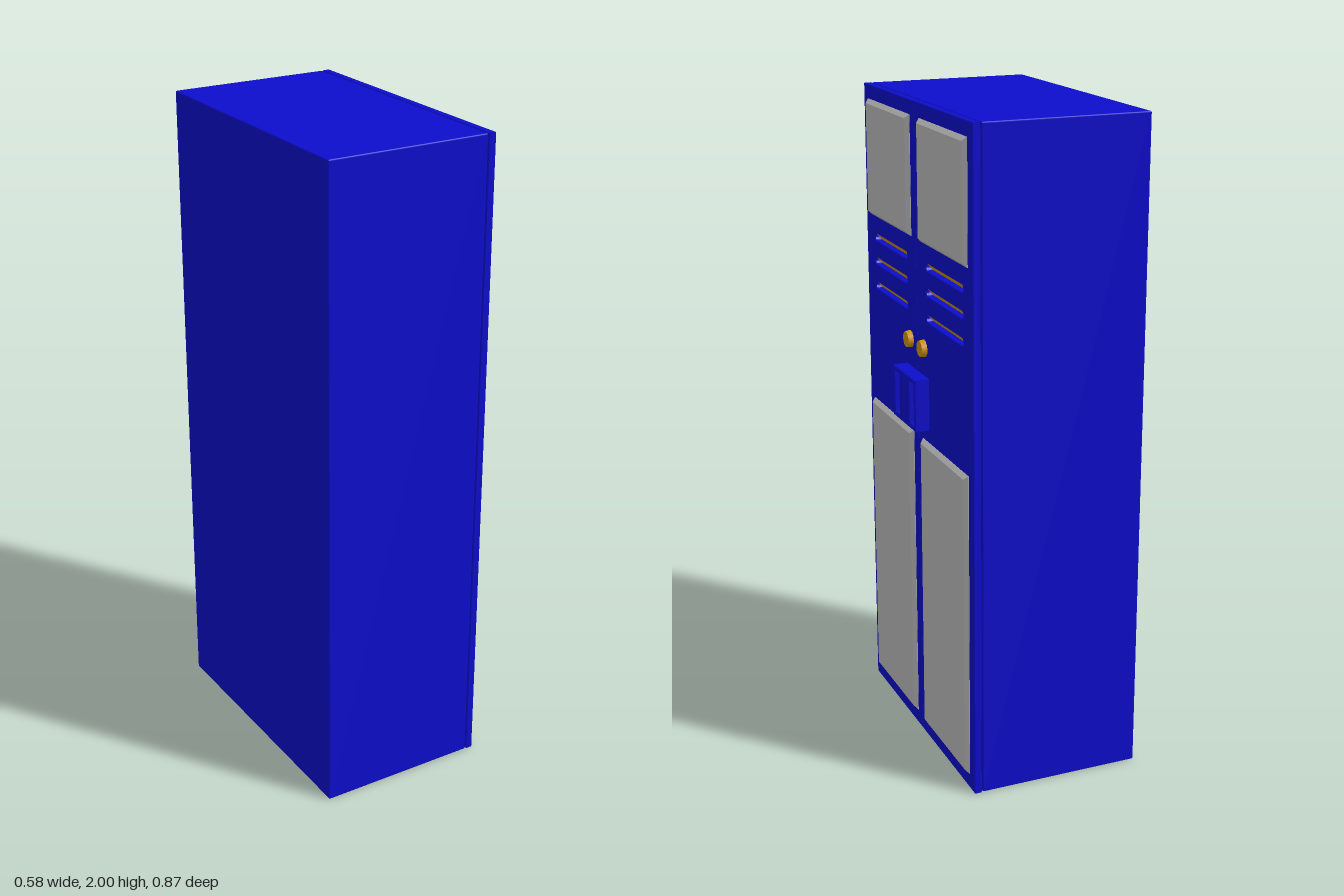
import * as THREE from 'three';
import { RoundedBoxGeometry } from 'three/addons/geometries/RoundedBoxGeometry.js';

const mat = (name, color, extra = {}) => {
  const m = new THREE.MeshStandardMaterial({ color, ...extra });
  m.name = name;
  return m;
};

function rect(Type, x0, x1, y0, y1) {
  const p = new Type();
  p.moveTo(x0, y0);
  p.lineTo(x1, y0);
  p.lineTo(x1, y1);
  p.lineTo(x0, y1);
  p.closePath();
  return p;
}

// slot outline with rounded ends
function slot(x0, x1, y, r) {
  const p = new THREE.Path();
  p.moveTo(x0 + r, y - r);
  p.lineTo(x1 - r, y - r);
  p.absarc(x1 - r, y, r, -Math.PI / 2, Math.PI / 2, false);
  p.lineTo(x0 + r, y + r);
  p.absarc(x0 + r, y, r, Math.PI / 2, Math.PI * 1.5, false);
  return p;
}

// extrusion filling z0..z1, edges chamfered inside the outline
function slab(shape, z0, z1, b) {
  const g = new THREE.ExtrudeGeometry(shape, {
    depth: z1 - z0 - 2 * b, bevelEnabled: b > 0, bevelThickness: b,
    bevelSize: b, bevelOffset: -b, bevelSegments: 1, curveSegments: 6,
  });
  return g.translate(0, 0, z0 + b);
}

export function createModel() {
  const blue = mat('blue paint', 0x0d0dcc);
  const grey = mat('grey panel', 0xbcbcbc);
  const gold = mat('gold', 0xd0940f, { side: THREE.DoubleSide });

  const model = new THREE.Group();
  model.name = 'locker';
  const add = (parent, name, geo, material) => {
    const m = new THREE.Mesh(geo, material);
    m.name = name;
    parent.add(m);
    return m;
  };

  // cabinet and the recessed strip behind the doors
  add(model, 'cabinet', new RoundedBoxGeometry(0.505, 2, 0.874, 1, 0.004), blue).position.set(-0.0375, 1, 0);
  add(model, 'doorSeal', new THREE.BoxGeometry(0.01, 1.98, 0.854), blue).position.set(0.2145, 1, 0);

  // door fronts are drawn in x/y and turned to face +x
  const front = new THREE.Group();
  front.name = 'doors';
  front.rotation.y = Math.PI / 2;
  model.add(front);

  const Z0 = 0.218, Z1 = 0.241;
  for (const s of [-1, 1]) {
    const door = new THREE.Group();
    door.name = s < 0 ? 'leftDoor' : 'rightDoor';
    front.add(door);
    const span = (a, b) => (s > 0 ? [a, b] : [-b, -a]);

    // door leaf with vent slots
    const leaf = rect(THREE.Shape, ...span(0.002, 0.437), 0, 2);
    const [v0, v1] = span(0.077, 0.365);
    for (const y of [1.535, 1.46, 1.382]) {
      leaf.holes.push(slot(v0, v1, y, 0.011));
      // louvre leaning inward at its lower edge
      const louvre = add(door, 'ventLouvre', new THREE.PlaneGeometry(v1 - v0 - 0.004, 0.033), gold);
      louvre.position.set((v0 + v1) / 2, y, 0.229);
      louvre.rotation.x = 0.72;
    }
    add(door, 'doorLeaf', slab(leaf, Z0, Z1, 0.002), blue);

    // raised panels with chamfered rims
    for (const [name, y0, y1] of [['upperPanel', 1.602, 1.957], ['lowerPanel', 0.047, 1.0]]) {
      add(door, name, slab(rect(THREE.Shape, ...span(0.038, 0.4), y0, y1), 0.229, 0.254, 0.012), grey);
    }

    // round lock
    const knob = add(door, 'lockKnob', new THREE.CylinderGeometry(0.024, 0.027, 0.016, 12), gold);
    knob.rotation.x = Math.PI / 2;
    knob.position.set(s * 0.057, 1.285, Z1 + 0.008);

    // handle block with a finger recess
    const block = rect(THREE.Shape, ...span(0.002, 0.093), 1.04, 1.2);
    const [r0, r1] = span(0.04, 0.082);
    block.holes.push(rect(THREE.Path, r0, r1, 1.055, 1.185));
    add(door, 'handle', slab(block, Z1 - 0.004, 0.287, 0.003), blue);
    add(door, 'handleRecess', new THREE.BoxGeometry(r1 - r0 + 0.008, 0.138, 0.024), blue)
      .position.set((r0 + r1) / 2, 1.12, 0.253);
  }
  return model;
}
